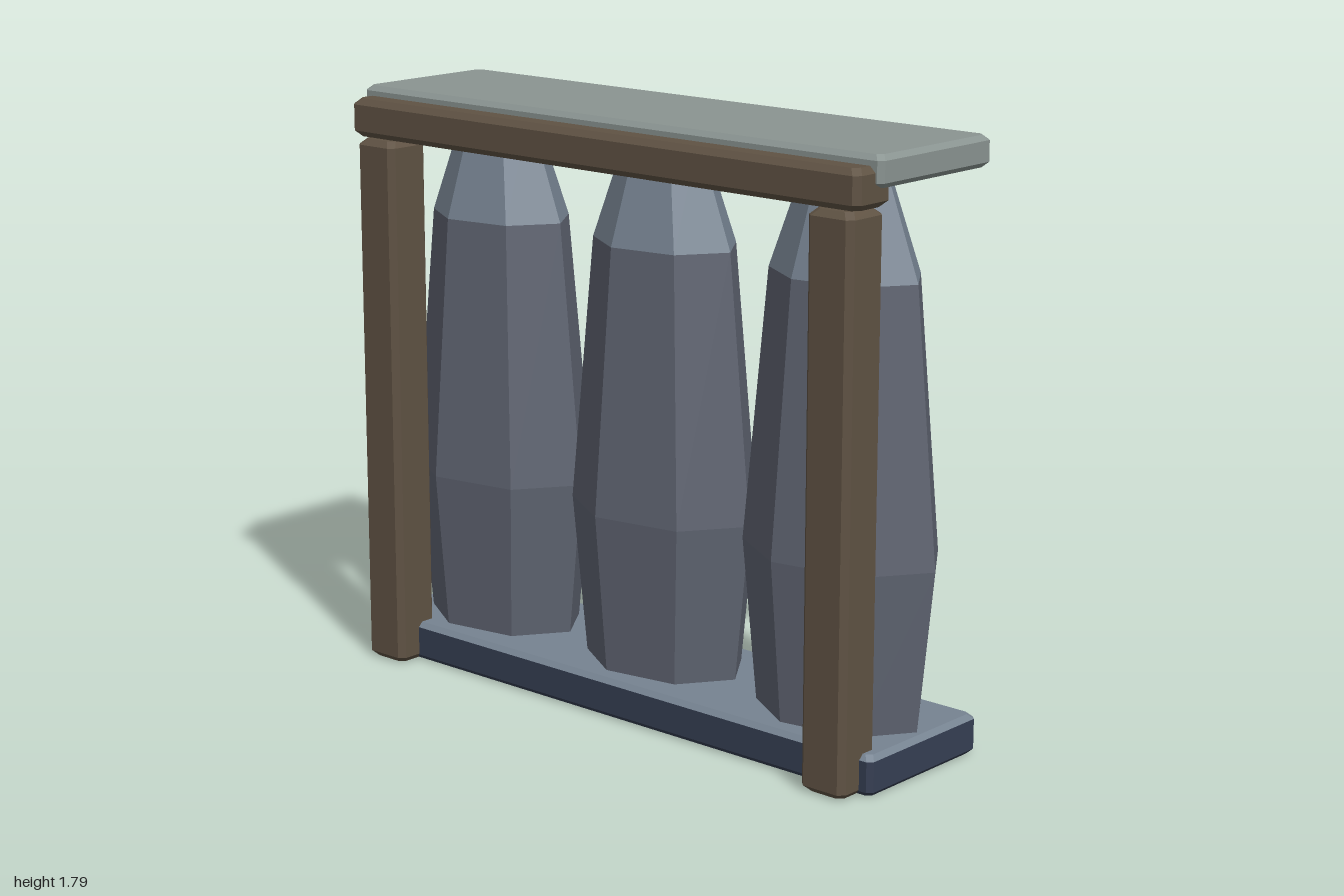
import * as THREE from 'three';

const material = (color) => new THREE.MeshStandardMaterial({ color, flatShading: true, side: THREE.DoubleSide });
const wood = material(0x5f5243);
const stone = material(0x5f6471);
const paleStone = material(0x768391);
const darkBase = material(0x363f53);
const slab = material(0x8a9491);

// Skin a stack of rings ([x, y, z] points running from +x towards +z), closed at both ends
function loft(rings) {
  const out = [];
  const n = rings[0].length;
  const centre = (ring) => [0, 1, 2].map((k) => ring.reduce((sum, p) => sum + p[k], 0) / n);
  const first = rings[0], last = rings[rings.length - 1];
  const bottom = centre(first), top = centre(last);
  for (let i = 0; i < n; i++) {
    const j = (i + 1) % n;
    for (let r = 0; r < rings.length - 1; r++) {
      const a = rings[r], b = rings[r + 1];
      out.push(...a[i], ...b[i], ...a[j], ...a[j], ...b[i], ...b[j]);
    }
    out.push(...bottom, ...first[i], ...first[j], ...top, ...last[j], ...last[i]);
  }
  const geometry = new THREE.BufferGeometry();
  geometry.setAttribute('position', new THREE.Float32BufferAttribute(out, 3));
  geometry.computeVertexNormals();
  return geometry;
}

// Rectangle with cut corners at height y, shrunk by inset
function plan(x0, x1, z0, z1, y, cut, inset = 0) {
  const cx = (x0 + x1) / 2, cz = (z0 + z1) / 2;
  const hx = (x1 - x0) / 2 - inset, hz = (z1 - z0) / 2 - inset;
  return [
    [hx, cut - hz], [hx, hz - cut], [hx - cut, hz], [cut - hx, hz],
    [-hx, hz - cut], [-hx, cut - hz], [cut - hx, -hz], [hx - cut, -hz],
  ].map(([x, z]) => [cx + x, y, cz + z]);
}

// Four rings of a box with all edges chamfered
function chamferRings(x0, x1, y0, y1, z0, z1, c) {
  return [[y0, c], [y0 + c, 0], [y1 - c, 0], [y1, c]].map(([y, inset]) => plan(x0, x1, z0, z1, y, c, inset));
}

// Seven-sided ring of a standing stone; the corners are slightly uneven
function stoneRing(y, scale, bulge) {
  const uneven = [1, 1, 1, 0.96, bulge, 1, 1];
  return uneven.map((k, i) => {
    const a = (i / 7) * Math.PI * 2;
    return [Math.cos(a) * 0.33 * scale * k, y, Math.sin(a) * 0.23 * scale * k];
  });
}

export function createModel() {
  const group = new THREE.Group();
  const add = (name, rings, mat, parent = group) => {
    const mesh = new THREE.Mesh(loft(rings), mat);
    mesh.name = name;
    parent.add(mesh);
  };

  // Base with a paler walking surface, and the roof slab
  const base = chamferRings(-1, 0.98, 0, 0.12, -0.285, 0.21, 0.015);
  add('base', base.slice(0, 3), darkBase);
  add('baseTop', base.slice(2), paleStone);
  add('roofSlab', chamferRings(-1, 0.98, 1.7, 1.79, -0.285, 0.21, 0.015), slab);

  // Timber frame at the front
  add('rightPost', chamferRings(-0.96, -0.805, 0, 1.64, 0.135, 0.285, 0.018), wood);
  add('leftPost', chamferRings(0.785, 0.94, 0, 1.64, 0.135, 0.285, 0.018), wood);
  add('beam', chamferRings(-0.98, 0.96, 1.645, 1.76, 0.135, 0.285, 0.018), wood);

  // Three standing stones with tapered pale tops
  const rings = [stoneRing(0.1, 0.84, 1.04), stoneRing(0.6, 1, 1.08), stoneRing(1.4, 0.76, 1.14), stoneRing(1.72, 0.39, 1.14)];
  for (const x of [-0.67, 0, 0.67]) {
    const standing = new THREE.Group();
    standing.name = 'standingStone';
    standing.position.set(x, 0, -0.04);
    add('stoneBody', rings.slice(0, 3), stone, standing);
    add('stoneTop', rings.slice(2), paleStone, standing);
    group.add(standing);
  }
  return group;
}
